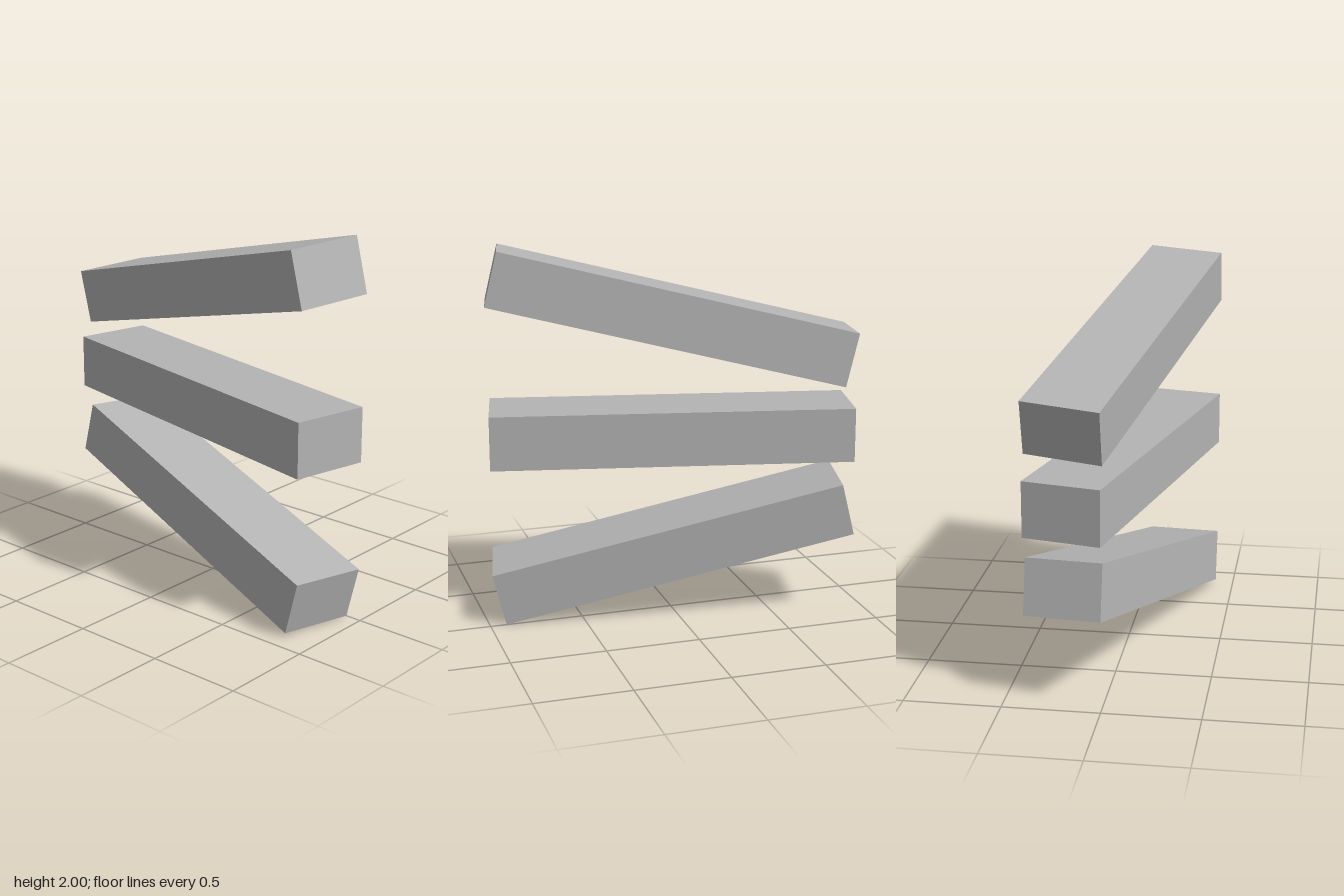
import * as THREE from 'three';

export function createModel() {
  const model = new THREE.Group();
  const grey = new THREE.MeshStandardMaterial({ color: 0xb4b4b4 });
  grey.name = 'grey';

  // Three equal bars, turned by the same yaw and fanned about the z axis
  const yaw = -0.211;
  const tilt = 0.244;
  const geometry = new THREE.BoxGeometry(1.912, 0.289, 0.409);
  const bars = [
    ['lowerBar', 0.378, -tilt],
    ['middleBar', 1.002, 0],
    ['upperBar', 1.622, tilt],
  ];
  for (const [name, y, roll] of bars) {
    const bar = new THREE.Mesh(geometry, grey);
    bar.name = name;
    bar.position.y = y;
    bar.rotation.set(0, yaw, roll, 'ZYX'); // yaw first, then tilt
    model.add(bar);
  }
  return model;
}
